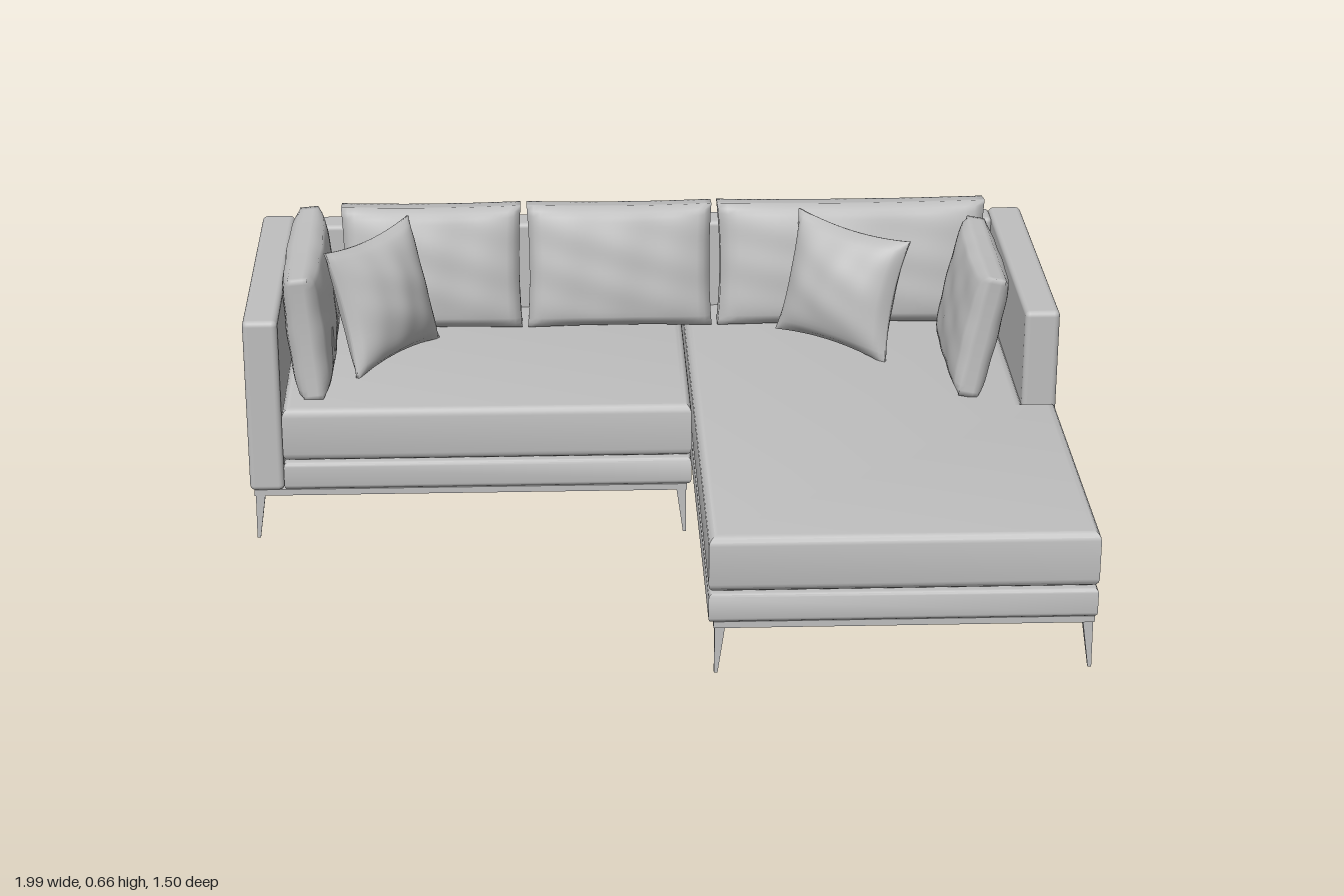
import * as THREE from 'three';
import { mergeVertices, toCreasedNormals } from 'three/addons/utils/BufferGeometryUtils.js';
import { RoundedBoxGeometry } from 'three/addons/geometries/RoundedBoxGeometry.js';

export function createModel() {
  const model = new THREE.Group();
  model.name = 'cornerSofa';
  const fabric = new THREE.MeshStandardMaterial({ color: 0xbfbfbf });
  fabric.name = 'greyFabric';

  const add = (name, geometry, parent = model) => {
    const mesh = new THREE.Mesh(geometry, fabric);
    mesh.name = name;
    parent.add(mesh);
    return mesh;
  };

  // Box given by its limits, with softly rounded edges when r > 0
  const block = (name, x0, x1, y0, y1, z0, z1, r = 0, parent = model) => {
    const size = [x1 - x0, y1 - y0, z1 - z0];
    const g = r ? new RoundedBoxGeometry(...size, 3, r) : new THREE.BoxGeometry(...size);
    add(name, g, parent).position.set((x0 + x1) / 2, (y0 + y1) / 2, (z0 + z1) / 2);
  };

  // Upholstered slab with a floor plan of [x, z] corners and bevelled rims
  const slab = (name, plan, y0, y1, r) => {
    const shape = new THREE.Shape(plan.map(([x, z]) => new THREE.Vector2(x, -z)));
    const g = new THREE.ExtrudeGeometry(shape, {
      depth: y1 - y0 - 2 * r, bevelEnabled: true, bevelThickness: r,
      bevelSize: r, bevelOffset: -r, bevelSegments: 4,
    });
    g.rotateX(-Math.PI / 2).translate(0, y0 + r, 0);
    add(name, toCreasedNormals(g, 0.7));
  };

  // Stuffed cushion: thickness swells from rim to middle, sides can be pinched in
  const cushion = (name, w, h, t, o) => {
    let g = new THREE.BoxGeometry(w, h, t, 28, 24, 4);
    const p = g.attributes.position;
    for (let i = 0; i < p.count; i++) {
      const u = p.getX(i) / (w / 2), v = p.getY(i) / (h / 2);
      const swell = Math.pow(Math.max(0, (1 - u * u) * (1 - v * v)), o.power);
      const wrinkle = 1 + 0.04 * Math.sin(7 * u + 4 * v) * Math.sin(5 * v - 3 * u);
      p.setXYZ(i,
        p.getX(i) * (1 - o.pinch * (1 - v * v)),
        p.getY(i) * (1 - o.pinch * (1 - u * u)),
        p.getZ(i) * (o.rim + (1 - o.rim) * swell) * wrinkle);
    }
    g.deleteAttribute('uv');
    g.deleteAttribute('normal');
    g = mergeVertices(g, 1e-5);
    g.computeVertexNormals();
    const mesh = add(name, g);
    mesh.position.set(...o.at);
    mesh.rotation.set(-o.lean, o.yaw, o.roll || 0, 'YXZ');
  };

  // Arms and two-part back
  block('rightArm', -0.995, -0.91, 0.13, 0.58, -0.75, 0, 0.014);
  block('leftArm', 0.908, 0.993, 0.13, 0.58, -0.75, 0, 0.014);
  block('backPanelRight', -0.912, -0.152, 0.13, 0.575, -0.752, -0.67, 0.012);
  block('backPanelLeft', -0.15, 0.91, 0.13, 0.575, -0.752, -0.67, 0.012);

  // Seat and chaise, each a base with a thicker cushion on top
  const seatPlan = [[-0.91, -0.005], [0.095, -0.005], [0.095, -0.68], [-0.91, -0.68]];
  const chaisePlan = [[0.1, 0.748], [0.99, 0.748], [0.99, 0.002], [0.91, 0.002], [0.91, -0.68], [0.1, -0.68]];
  for (const [name, plan] of [['seat', seatPlan], ['chaise', chaisePlan]]) {
    slab(name + 'Base', plan, 0.13, 0.203, 0.012);
    slab(name + 'Cushion', plan, 0.205, 0.345, 0.022);
  }

  // Four-sided tapered leg, its foot tip pushed towards the outer corner
  const leg = (parent, x, z, sx, sz) => {
    const g = new THREE.CylinderGeometry(0.017, 0.006, 0.12, 4, 1).toNonIndexed();
    g.rotateY(Math.PI / 4);
    const p = g.attributes.position;
    for (let i = 0; i < p.count; i++) {
      if (p.getY(i) < 0) {
        p.setX(i, p.getX(i) + sx * 0.009);
        p.setZ(i, p.getZ(i) + sz * 0.009);
      }
    }
    g.computeVertexNormals();
    add('leg', g, parent).position.set(x, 0.06, z);
  };

  // Under-frames: rim bars, a recessed bottom panel and corner legs
  for (const [name, x0, x1, z0, z1] of [
    ['seatFrame', -0.985, 0.085, -0.742, -0.008],
    ['chaiseFrame', 0.112, 0.985, -0.742, 0.742],
  ]) {
    const frame = new THREE.Group();
    frame.name = name;
    model.add(frame);
    const b = 0.03;
    block('bottomPanel', x0 + b, x1 - b, 0.121, 0.131, z0 + b, z1 - b, 0, frame);
    block('frameBar', x0, x0 + b, 0.115, 0.131, z0, z1, 0, frame);
    block('frameBar', x1 - b, x1, 0.115, 0.131, z0, z1, 0, frame);
    block('frameBar', x0 + b, x1 - b, 0.115, 0.131, z0, z0 + b, 0, frame);
    block('frameBar', x0 + b, x1 - b, 0.115, 0.131, z1 - b, z1, 0, frame);
    for (const sx of [-1, 1]) for (const sz of [-1, 1]) {
      leg(frame, (sx < 0 ? x0 : x1) - sx * 0.015, (sz < 0 ? z0 : z1) - sz * 0.015, sx, sz);
    }
  }

  // Back cushions leaning on the back
  const plump = { rim: 0.42, power: 0.3, pinch: 0.025 };
  for (const [x0, x1] of [[-0.78, -0.32], [-0.305, 0.17], [0.185, 0.875]]) {
    cushion('backCushion', x1 - x0, 0.32, 0.15,
      { ...plump, at: [(x0 + x1) / 2, 0.5, -0.575], yaw: 0, lean: 0.17 });
  }

  // Side cushions leaning on the arms
  cushion('rightSideCushion', 0.52, 0.32, 0.115,
    { ...plump, at: [-0.848, 0.5, -0.33], yaw: Math.PI / 2, lean: 0.09 });
  cushion('leftSideCushion', 0.44, 0.315, 0.11,
    { ...plump, at: [0.808, 0.5, -0.25], yaw: -Math.PI / 2, lean: 0.2 });

  // Throw pillows with pointed corners
  const thrown = { rim: 0.05, power: 0.55, pinch: 0.1 };
  cushion('rightThrowPillow', 0.33, 0.33, 0.15,
    { ...thrown, at: [-0.67, 0.5, -0.36], yaw: 0.93, lean: 0.28 });
  cushion('leftThrowPillow', 0.34, 0.32, 0.15,
    { ...thrown, at: [0.495, 0.5, -0.395], yaw: -0.68, lean: 0.25, roll: -0.04 });

  return model;
}
